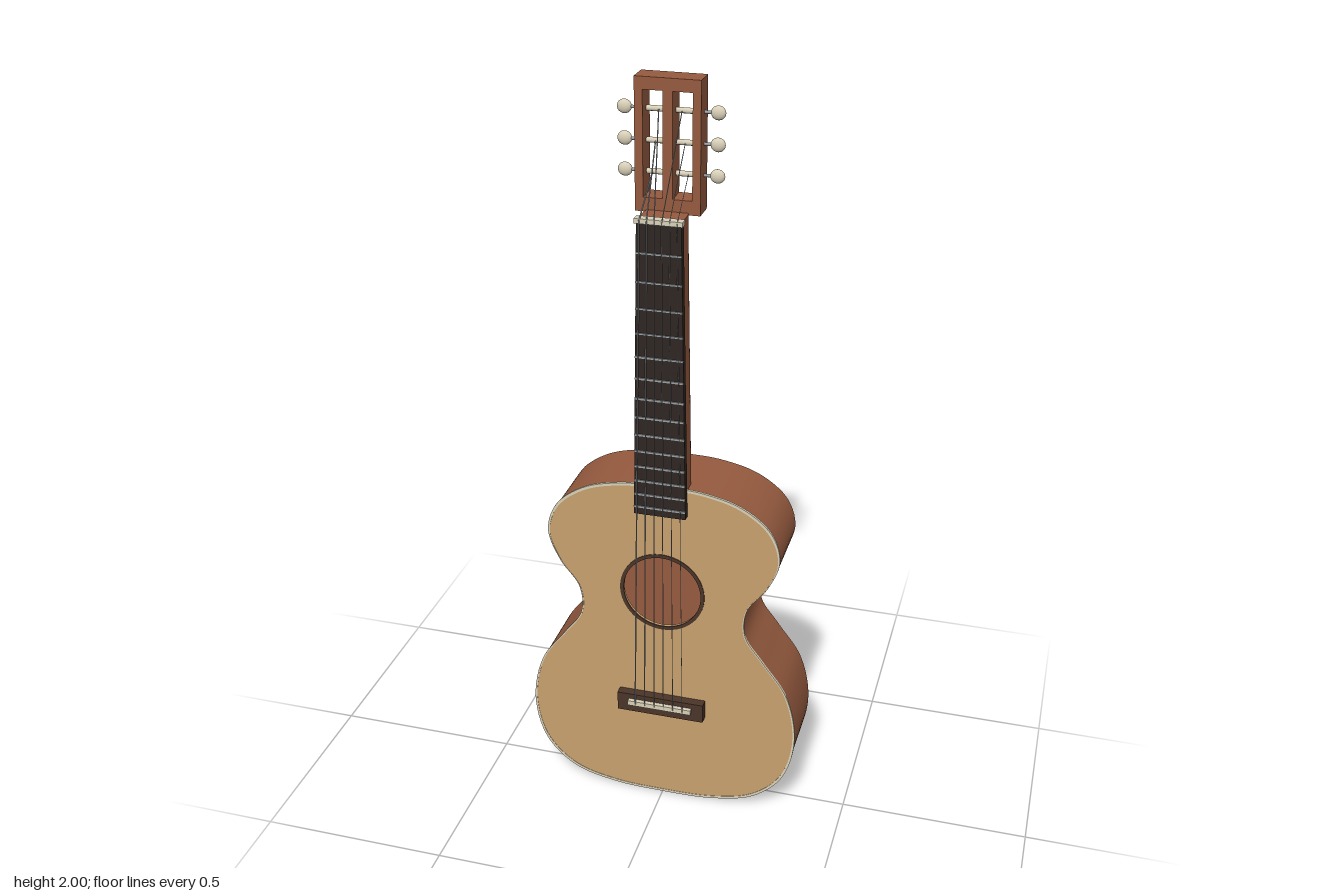
import * as THREE from 'three';
import { toCreasedNormals } from 'three/addons/utils/BufferGeometryUtils.js';

const mat = (name, color) => Object.assign(new THREE.MeshStandardMaterial({ color }), { name });

export function createModel() {
  const guitar = new THREE.Group();
  guitar.name = 'guitar';
  const wood = mat('mahogany', 0x965b3f);
  const spruce = mat('spruce', 0xc6a06c);
  const ebony = mat('ebony', 0x2e2621);
  const rosewood = mat('rosewood', 0x4a3428);
  const ivory = mat('ivory', 0xd9d0b8);
  const steel = mat('steel', 0x9a9fa3);

  function add(name, geometry, material, x = 0, y = 0, z = 0, parent = guitar) {
    const mesh = new THREE.Mesh(geometry, material);
    mesh.name = name;
    mesh.position.set(x, y, z);
    parent.add(mesh);
    return mesh;
  }
  const box = (name, w, h, d, material, x, y, z) =>
    add(name, new THREE.BoxGeometry(w, h, d), material, x, y, z);
  const extrude = (shape, depth) => toCreasedNormals(
    new THREE.ExtrudeGeometry(shape, { depth, bevelEnabled: false, curveSegments: 40 }), 0.6);
  function group(name) {
    const g = new THREE.Group();
    g.name = name;
    guitar.add(g);
    return g;
  }
  // thin round bar between two points
  function rod(name, a, b, radius, material, parent) {
    const dir = b.clone().sub(a);
    const mesh = add(name, new THREE.CylinderGeometry(radius, radius, dir.length(), 8), material, 0, 0, 0, parent);
    mesh.position.copy(a).add(b).multiplyScalar(0.5);
    mesh.quaternion.setFromUnitVectors(new THREE.Vector3(0, 1, 0), dir.normalize());
  }

  // body outline, right half mirrored into a closed curve
  const half = [[0, 0.004], [0.14, 0.01], [0.255, 0.042], [0.335, 0.12], [0.367, 0.25],
    [0.34, 0.39], [0.275, 0.485], [0.225, 0.56], [0.228, 0.64], [0.28, 0.715], [0.31, 0.8],
    [0.285, 0.88], [0.21, 0.94], [0.11, 0.968], [0, 0.973]];
  const mirrored = half.slice(1, -1).reverse().map(([x, y]) => [-x, y]);
  const outline = new THREE.CatmullRomCurve3(
    [...half, ...mirrored].map(([x, y]) => new THREE.Vector3(x, y, 0)), true).getPoints(180).slice(0, -1);
  const scaled = s => outline.map(p => new THREE.Vector2(p.x * s, 0.4885 + (p.y - 0.4885) * s));
  const bodyShape = (outer, inner) => {
    const shape = new THREE.Shape(scaled(outer));
    if (inner) shape.holes.push(new THREE.Path(scaled(inner)));
    return shape;
  };
  const circle = r => new THREE.Path().absarc(0, 0.66, r, 0, Math.PI * 2, true);

  // hollow sound box
  add('back', extrude(bodyShape(1), 0.01), wood, 0, 0, -0.12);
  add('sides', extrude(bodyShape(1, 0.97), 0.184), wood, 0, 0, -0.11);
  const top = bodyShape(0.992);
  top.holes.push(circle(0.106));
  add('soundboard', extrude(top, 0.01), spruce, 0, 0, 0.07);
  add('binding', extrude(bodyShape(1.006, 0.991), 0.007), ivory, 0, 0, 0.074);
  const ring = new THREE.Shape().absarc(0, 0.66, 0.115, 0, Math.PI * 2, false);
  ring.holes.push(circle(0.105));
  add('rosette', extrude(ring, 0.004), rosewood, 0, 0, 0.078);

  // bridge and saddle
  box('bridge', 0.24, 0.055, 0.025, rosewood, 0, 0.307, 0.0925);
  box('saddle', 0.176, 0.014, 0.014, ivory, 0, 0.313, 0.11);

  // neck: round-backed section, narrowing towards the nut
  const halfWidth = y => 0.068 - (y - 0.9) / 0.78 * 0.013;
  const section = new THREE.Shape();
  section.moveTo(-1, -0.085);
  section.lineTo(1, -0.085);
  section.lineTo(1, -0.045);
  section.absellipse(0, -0.045, 1, 0.06, 0, Math.PI, false);
  const neck = new THREE.ExtrudeGeometry(section, { depth: 0.72, bevelEnabled: false, curveSegments: 32 });
  neck.rotateX(-Math.PI / 2).translate(0, 0.965, 0);
  const p = neck.attributes.position;
  for (let i = 0; i < p.count; i++) p.setX(i, p.getX(i) * (halfWidth(p.getY(i)) - 0.001));
  add('neck', toCreasedNormals(neck, 0.6), wood);

  const board = new THREE.Shape([[-1, 0.9], [1, 0.9], [1, 1.68], [-1, 1.68]]
    .map(([s, y]) => new THREE.Vector2(s * halfWidth(y), y)));
  add('fingerboard', extrude(board, 0.02), ebony, 0, 0, 0.081);
  box('nut', 0.118, 0.012, 0.024, ivory, 0, 1.683, 0.094);

  // frets spaced by the equal-tempered rule
  const scaleLength = 1.367;
  for (let n = 1; n <= 14; n++) {
    const y = 1.68 - scaleLength * (1 - 2 ** (-n / 12));
    box('fret', halfWidth(y) * 2, 0.005, 0.004, steel, 0, y, 0.102);
  }

  // slotted headstock
  const head = new THREE.Shape([[-0.08, 1.68], [0.08, 1.68], [0.08, 2], [-0.08, 2]]
    .map(v => new THREE.Vector2(...v)));
  for (const s of [-1, 1]) {
    head.holes.push(new THREE.Path([[0.012, 1.715], [0.012, 1.97], [0.06, 1.97], [0.06, 1.715]]
      .map(([x, y]) => new THREE.Vector2(s * x, y))));
  }
  add('headstock', extrude(head, 0.06), wood, 0, 0, -0.035);

  // tuners: shaft, roller in the slot, oval button
  const tunerY = [1.77, 1.845, 1.92], tunerZ = -0.007;
  const tuners = group('tuners');
  for (const s of [-1, 1]) for (const y of tunerY) {
    rod('tunerShaft', new THREE.Vector3(s * 0.01, y, tunerZ), new THREE.Vector3(s * 0.1, y, tunerZ), 0.004, steel, tuners);
    rod('tunerRoller', new THREE.Vector3(s * 0.013, y, tunerZ), new THREE.Vector3(s * 0.059, y, tunerZ), 0.007, ivory, tuners);
    const button = add('tunerButton', new THREE.SphereGeometry(1, 20, 14), ivory, s * 0.113, y, tunerZ, tuners);
    button.scale.set(0.018, 0.017, 0.01);
  }

  // strings: saddle to nut, then down to the rollers
  const strings = group('strings');
  for (let i = 0; i < 6; i++) {
    const t = i / 2.5 - 1;
    const side = Math.sign(t);
    const order = i < 3 ? i : 5 - i;
    const radius = 0.0018 - i * 0.0002;
    const saddle = new THREE.Vector3(t * 0.066, 0.313, 0.118);
    const nut = new THREE.Vector3(t * 0.046, 1.684, 0.107);
    const roller = new THREE.Vector3(side * (0.044 - order * 0.008), tunerY[order], tunerZ + 0.007);
    rod('string', saddle, nut, radius, steel, strings);
    rod('stringEnd', nut, roller, radius, steel, strings);
  }
  return guitar;
}
